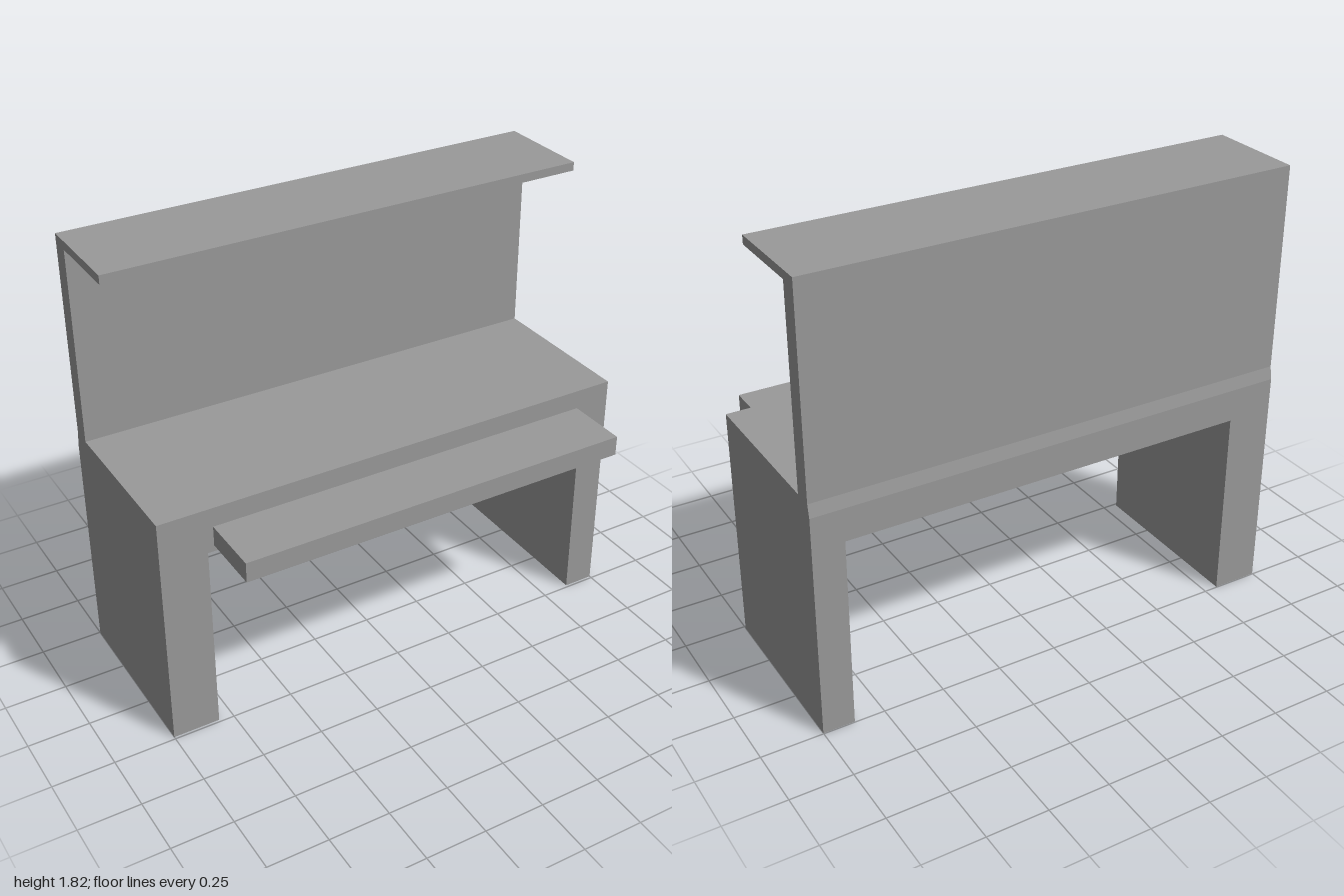
import * as THREE from 'three';

const material = new THREE.MeshStandardMaterial({ color: 0x9a9a9a, flatShading: true });

// Box given by its limits on each axis
function box(name, [x0, x1], [y0, y1], [z0, z1]) {
  const mesh = new THREE.Mesh(new THREE.BoxGeometry(x1 - x0, y1 - y0, z1 - z0), material);
  mesh.position.set((x0 + x1) / 2, (y0 + y1) / 2, (z0 + z1) / 2);
  mesh.name = name;
  return mesh;
}

export function createModel() {
  const group = new THREE.Group();
  group.name = 'desk';

  const front = 0.239, back = -0.497, panelBack = -0.487;
  const underside = 0.798, deskTop = 0.985;

  // Side profile [z, y]: desk top, upright back panel, overhanging shelf, sloped step at the rear
  const profile = [
    [front, underside], [back, underside], [back, 0.932], [panelBack, deskTop],
    [panelBack, 1.819], [-0.084, 1.819], [-0.084, 1.784], [-0.412, 1.784],
    [-0.412, deskTop], [front, deskTop],
  ];
  const shape = new THREE.Shape(profile.map(([z, y]) => new THREE.Vector2(-z, y)));
  const bodyGeometry = new THREE.ExtrudeGeometry(shape, { depth: 2, bevelEnabled: false });
  bodyGeometry.rotateY(Math.PI / 2).translate(-1, 0, 0);
  const body = new THREE.Mesh(bodyGeometry, material);
  body.name = 'deskTopWithBackPanelAndShelf';
  group.add(body);

  // Slab legs of unequal thickness
  group.add(box('rightLeg', [-1, -0.809], [0, underside], [back, front]));
  group.add(box('leftLeg', [0.872, 1], [0, underside], [back, front]));

  // Ledge projecting from the front edge
  group.add(box('frontLedge', [-0.783, 0.849], [0.823, 0.905], [front, 0.497]));

  return group;
}
